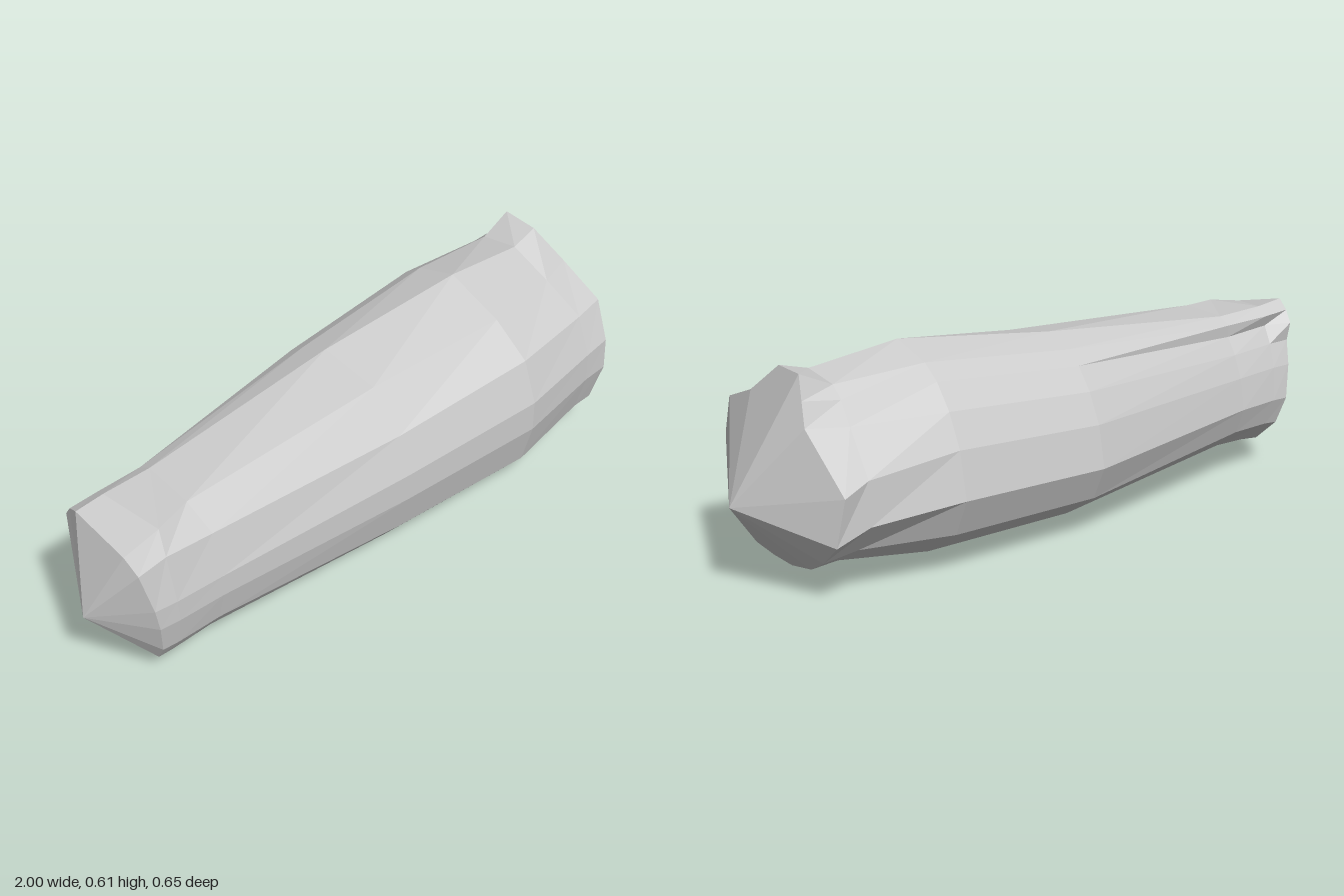
import * as THREE from 'three';

// Cross-sections as [z, y], starting at the top and running down the back.
const belly = [
  [-0.14, 0.575], [-0.195, 0.535], [-0.25, 0.465], [-0.297, 0.37], [-0.325, 0.235], [-0.275, 0.125],
  [-0.14, 0.035], [-0.02, 0.005], [0.08, 0.0], [0.225, 0.015], [0.29, 0.09],
  [0.325, 0.22], [0.325, 0.315], [0.28, 0.445], [0.165, 0.535], [-0.01, 0.612],
];
const broadEnd = [
  [-0.127, 0.61], [-0.153, 0.545], [-0.18, 0.48], [-0.3, 0.315], [-0.285, 0.18], [-0.2, 0.11],
  [-0.12, 0.065], [-0.02, 0.045], [0.09, 0.037], [0.185, 0.045], [0.26, 0.115],
  [0.297, 0.24], [0.295, 0.34], [0.245, 0.46], [0.09, 0.52], [-0.01, 0.605],
];
const broadEndX = [0.84, 0.85, 0.86, 0.82, 0.84, 0.83, 0.82, 0.82, 0.81, 0.81, 0.82, 0.83, 0.83, 0.84, 0.86, 0.83];

// Fits the belly section to a new extent; lean shifts x with height.
function fitted(x, yMin, yMax, zMin, zMax, lean = 0) {
  return belly.map(([z, y]) => {
    const v = y / 0.612;
    return new THREE.Vector3(x + lean * (v - 0.5), yMin + (yMax - yMin) * v,
      zMin + (zMax - zMin) * (z + 0.325) / 0.65);
  });
}

// Flat-shaded mesh from points and triangle corners.
function facetedMesh(points, index, name, material) {
  const geometry = new THREE.BufferGeometry().setFromPoints(points);
  geometry.setIndex(index);
  geometry.computeVertexNormals();
  const mesh = new THREE.Mesh(geometry, material);
  mesh.name = name;
  return mesh;
}

// Skin over a list of equal rings.
function skin(rings, name, material) {
  const n = rings[0].length;
  const index = [];
  for (let i = 0; i < rings.length - 1; i++) {
    for (let j = 0; j < n; j++) {
      const k = (j + 1) % n;
      const a = i * n + j, b = (i + 1) * n + j, c = (i + 1) * n + k, d = i * n + k;
      index.push(a, b, c, a, c, d);
    }
  }
  return facetedMesh(rings.flat(), index, name, material);
}

// Shallow pointed fan closing one end.
function cap(ring, tip, facesRight, name, material) {
  const n = ring.length;
  const index = [];
  for (let j = 0; j < n; j++) {
    const k = (j + 1) % n;
    index.push(n, facesRight ? k : j, facesRight ? j : k);
  }
  return facetedMesh([...ring, tip], index, name, material);
}

export function createModel() {
  const group = new THREE.Group();
  group.name = 'taperedLog';
  const material = new THREE.MeshStandardMaterial({ color: 0xcccccc, flatShading: true });

  // Narrow end, leaning outward at the top, with a raised back ridge and a lower front corner
  const narrow = fitted(-0.885, 0.05, 0.51, -0.165, 0.175, -0.085);
  narrow[0].set(-0.915, 0.49, -0.11);
  narrow[1].set(-0.91, 0.455, -0.135);
  narrow[13].set(-0.915, 0.415, 0.155);
  narrow[14].set(-0.93, 0.47, 0.12);
  narrow[15].set(-0.93, 0.515, -0.065);

  // Behind it the top is flat, widening the section at both upper corners
  const collar = fitted(-0.82, 0.058, 0.508, -0.172, 0.188, -0.04);
  collar[0].set(-0.82, 0.485, -0.115);
  collar[13].set(-0.825, 0.43, 0.16);
  collar[14].set(-0.81, 0.492, 0.12);
  collar[15].set(-0.83, 0.508, -0.075);
  const neck = fitted(-0.67, 0.065, 0.5, -0.19, 0.2);
  neck[0].set(-0.67, 0.482, -0.115);
  neck[13].set(-0.67, 0.42, 0.168);
  neck[14].set(-0.69, 0.498, 0.095);
  neck[15].set(-0.67, 0.502, -0.075);
  const middle = fitted(-0.02, 0.006, 0.562, -0.315, 0.27);
  middle[14].y += 0.033;
  middle[15].z -= 0.03;

  // Broad end, with a shoulder halfway between its outline and the belly's
  const broad = broadEnd.map(([z, y], i) => new THREE.Vector3(broadEndX[i], y, z));
  const shoulder = fitted(0.74, 0.05, 0.585, -0.3, 0.305).map((p, i) => {
    const [z, y] = broadEnd[i];
    return p.set(p.x, p.y * 0.5 + Math.min(y, 0.575) * 0.5, (p.z + z) / 2);
  });

  const rings = [
    narrow,
    collar,
    neck,
    middle,
    fitted(0.46, 0, 0.612, -0.325, 0.325),
    shoulder,
    broad,
  ];

  group.add(skin(rings, 'body', material));
  group.add(cap(broad, new THREE.Vector3(1, 0.25, -0.02), true, 'broadEnd', material));
  group.add(cap(narrow, new THREE.Vector3(-1, 0.24, 0.015), false, 'narrowEnd', material));
  return group;
}
